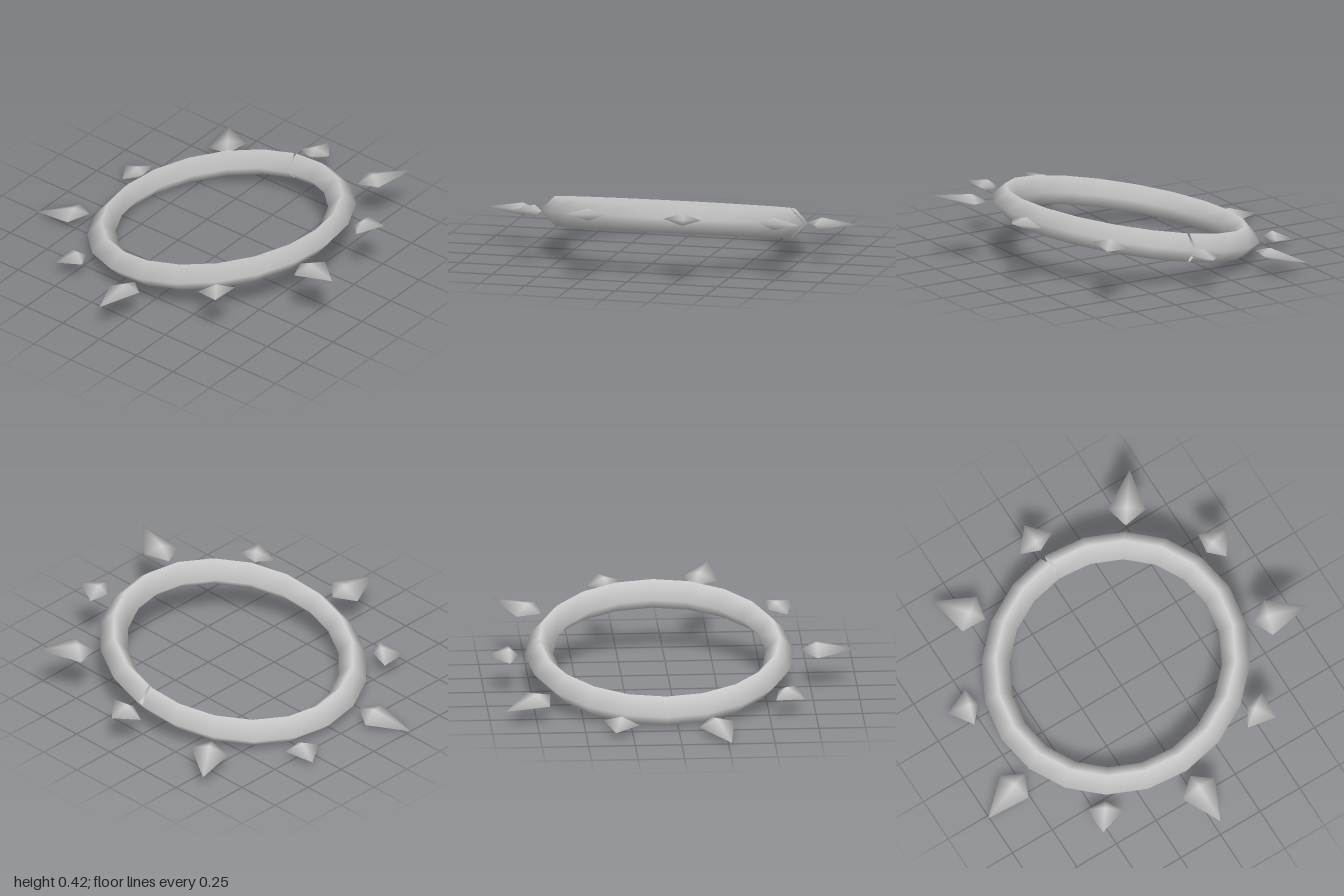
import * as THREE from 'three';
import { mergeVertices } from 'three/addons/utils/BufferGeometryUtils.js';

// Slants flat parts upward to the front and puts them in place
const slant = new THREE.Matrix4().set(
  1, 0, 0, 0.06,
  0, 1, 0.198, 0.21,
  0, 0, 1, 0,
  0, 0, 0, 1
);

// Four-sided ring with a narrow wedge-shaped split at its +x side
function ringGeometry() {
  const sides = 4, segments = 20;
  const g = new THREE.TorusGeometry(0.645, 0.075, sides, segments);
  g.rotateX(Math.PI / 2);
  g.scale(1, 1.07, 1);
  const p = g.attributes.position;
  for (let j = 0; j <= sides; j++) {
    const i = j * (segments + 1) + segments;
    const out = (p.getX(i) - 0.57) / 0.15;
    p.setZ(i, p.getZ(i) - 0.025 * out);
  }
  return g.applyMatrix4(slant);
}

// Kite-shaped spike: an octahedron stretched between base, widest and tip radii
function spikeGeometry(angle, base, mid, tip) {
  let g = new THREE.OctahedronGeometry(1);
  g.deleteAttribute('uv');
  g.deleteAttribute('normal');
  g = mergeVertices(g);
  const p = g.attributes.position;
  for (let i = 0; i < p.count; i++) {
    const x = p.getX(i);
    p.setXYZ(i, mid + x * (x > 0 ? tip - mid : mid - base), p.getY(i) * 0.034, p.getZ(i) * 0.1);
  }
  g.rotateY(angle);
  g.applyMatrix4(slant);
  g.computeVertexNormals();
  return g;
}

export function createModel() {
  const group = new THREE.Group();
  group.name = 'spikedHalo';
  const grey = new THREE.MeshStandardMaterial({ color: 0xcccccc, side: THREE.DoubleSide });
  grey.name = 'light grey';

  const ring = new THREE.Mesh(ringGeometry(), grey);
  ring.name = 'ring';
  group.add(ring);

  // Ten floating spikes, alternately short and long
  for (let i = 0; i < 10; i++) {
    const angle = (i * Math.PI) / 5;
    const long = i % 2 === 1;
    const g = long
      ? spikeGeometry(angle, 0.755, 0.843, 1.06)
      : spikeGeometry(angle, 0.758, 0.805, 0.925);
    const spike = new THREE.Mesh(g, grey);
    spike.name = long ? 'longSpike' : 'shortSpike';
    group.add(spike);
  }
  return group;
}
